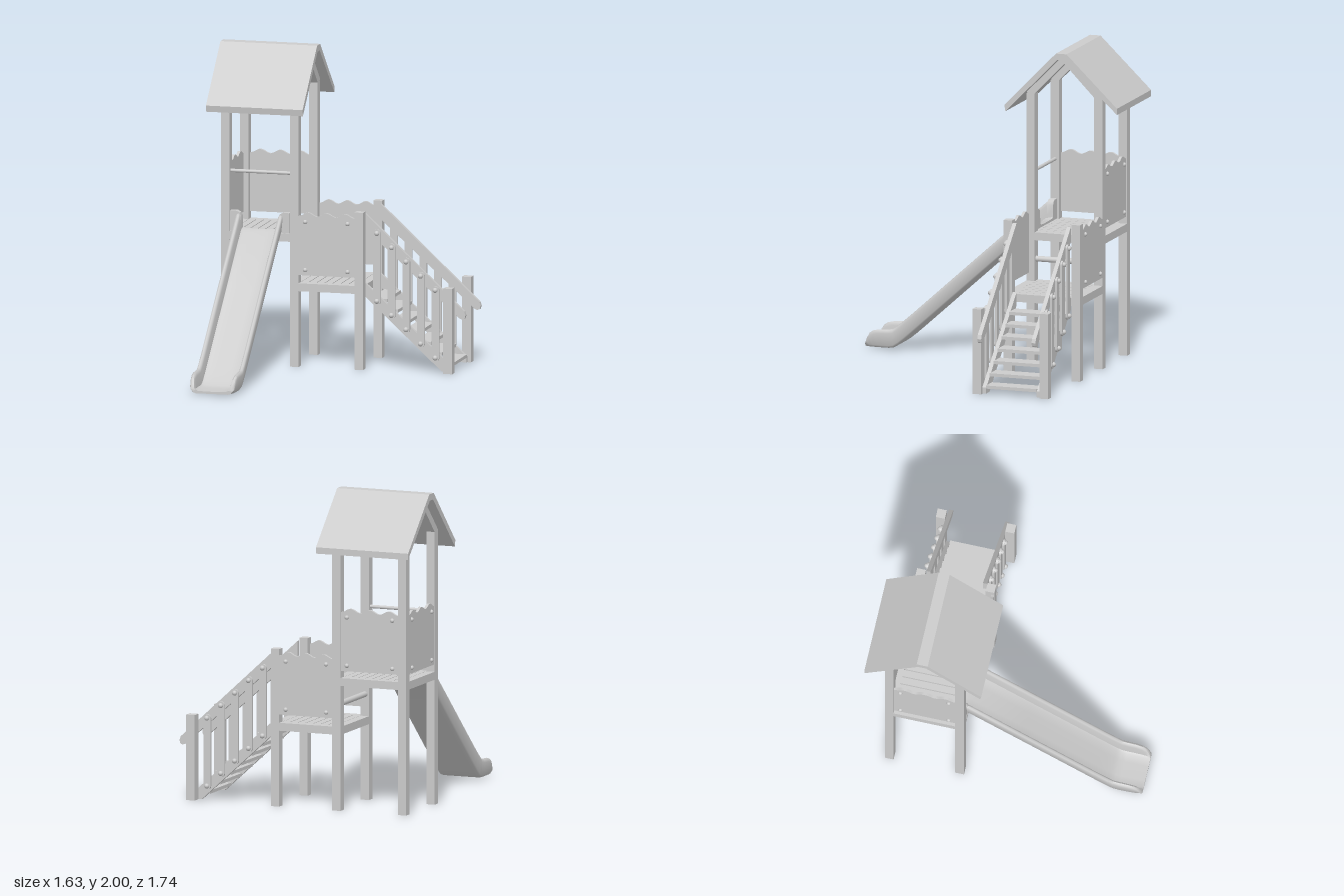
import * as THREE from 'three';
import { toCreasedNormals } from 'three/addons/utils/BufferGeometryUtils.js';

const mat = new THREE.MeshStandardMaterial({ color: 0xcccccc });
const matDouble = new THREE.MeshStandardMaterial({ color: 0xcccccc, side: THREE.DoubleSide });

function add(parent, name, geometry, material = mat) {
  const mesh = new THREE.Mesh(geometry, material);
  mesh.name = name;
  parent.add(mesh);
  return mesh;
}

// Box given by its minimum and maximum on each axis
function box(parent, name, x0, x1, y0, y1, z0, z1) {
  const mesh = add(parent, name, new THREE.BoxGeometry(x1 - x0, y1 - y0, z1 - z0));
  mesh.position.set((x0 + x1) / 2, (y0 + y1) / 2, (z0 + z1) / 2);
  return mesh;
}

const shapeOf = pts => new THREE.Shape(pts.map(p => new THREE.Vector2(p[0], p[1])));

// Outline in (x, y), pushed from z0 to z1
function extrudeZ(parent, name, pts, z0, z1) {
  const g = new THREE.ExtrudeGeometry(shapeOf(pts), { depth: z1 - z0, bevelEnabled: false });
  return add(parent, name, toCreasedNormals(g.translate(0, 0, z0), 0.5));
}

// Outline in (z, y), pushed from x0 to x1
function extrudeX(parent, name, pts, x0, x1) {
  const g = new THREE.ExtrudeGeometry(shapeOf(pts), { depth: x1 - x0, bevelEnabled: false });
  return add(parent, name, toCreasedNormals(g.rotateY(-Math.PI / 2).translate(x1, 0, 0), 0.5));
}

// Panel outline with a wavy top edge
function wavyOutline(a, b, y0, y1) {
  const pts = [[a, y0], [b, y0]], n = 36;
  for (let i = 0; i <= n; i++) {
    const t = 1 - i / n;
    pts.push([a + (b - a) * t, y1 - 0.012 + 0.012 * Math.cos((t - 0.5) * Math.PI * 6)]);
  }
  return pts;
}

function bolt(parent, x, y, z, r = 0.014) {
  add(parent, 'bolt', new THREE.SphereGeometry(r, 12, 8)).position.set(x, y, z);
}

function rod(parent, name, radius, length, axis, x, y, z) {
  const g = new THREE.CylinderGeometry(radius, radius, length, 16);
  if (axis === 'x') g.rotateZ(Math.PI / 2); else g.rotateX(Math.PI / 2);
  add(parent, name, g).position.set(x, y, z);
}

// Slats running along z, with narrow gaps
function deck(parent, x0, x1, yTop, z0, z1, count) {
  const w = (x1 - x0) / count;
  for (let i = 0; i < count; i++)
    box(parent, 'deckSlat', x0 + i * w + 0.003, x0 + (i + 1) * w - 0.003, yTop - 0.025, yTop, z0, z1);
}

const FRONT = [-0.303, -0.247], BACK = [-0.753, -0.697];

function buildTower() {
  const tower = new THREE.Group();
  tower.name = 'tower';
  const sides = [[-0.752, -0.696], [-0.306, -0.25]];
  for (const [x0, x1] of sides) {
    extrudeX(tower, 'towerPost', [[FRONT[0], 0], [FRONT[1], 0], [FRONT[1], 1.72], [FRONT[0], 1.77]], x0, x1);
    extrudeX(tower, 'towerPost', [[BACK[0], 0], [BACK[1], 0], [BACK[1], 1.77], [BACK[0], 1.72]], x0, x1);
    extrudeX(tower, 'rafter', [[-0.475, 1.962], [-0.247, 1.735], [-0.28, 1.70], [-0.5, 1.925],
      [-0.72, 1.70], [-0.753, 1.74], [-0.525, 1.962]], x0, x1);
    box(tower, 'deckBeam', x0, x1, 0.79, 0.84, BACK[1], FRONT[0]);
  }
  for (const [z0, z1] of [FRONT, BACK]) box(tower, 'deckBeam', -0.696, -0.306, 0.79, 0.84, z0, z1);
  deck(tower, -0.696, -0.306, 0.84, BACK[1], FRONT[0], 8);

  // Gabled roof with a narrow flat ridge
  extrudeX(tower, 'roof', [[-0.465, 2], [-0.475, 1.96], [-0.525, 1.96], [-0.87, 1.637], [-0.87, 1.677],
    [-0.535, 2]].slice(1, 5).concat([[-0.535, 2], [-0.465, 2], [-0.123, 1.65], [-0.13, 1.61]]), -0.815, -0.19);

  // Closed sides: back and outer end
  extrudeZ(tower, 'backPanel', wavyOutline(-0.696, -0.306, 0.885, 1.28), -0.748, -0.73);
  extrudeX(tower, 'sidePanel', wavyOutline(-0.697, -0.303, 0.885, 1.28), -0.747, -0.729);
  for (const y of [0.92, 1.225]) {
    for (const x of [-0.655, -0.347]) bolt(tower, x, y, -0.748);
    for (const z of [-0.655, -0.345]) bolt(tower, -0.747, y, z);
  }
  rod(tower, 'safetyBar', 0.011, 0.4, 'x', -0.5, 1.22, -0.275);
  rod(tower, 'stepRung', 0.018, 0.4, 'z', -0.278, 0.668, -0.5);
  return tower;
}

function buildLanding() {
  const landing = new THREE.Group();
  landing.name = 'landing';
  for (const [z0, z1] of [FRONT, BACK]) {
    box(landing, 'landingPost', 0.11, 0.166, 0, 0.995, z0, z1);
    box(landing, 'landingBeam', -0.25, 0.11, 0.48, 0.53, z0, z1);
  }
  box(landing, 'landingBeam', 0.11, 0.166, 0.48, 0.53, BACK[1], FRONT[0]);
  box(landing, 'landingBeam', -0.306, -0.25, 0.48, 0.53, BACK[1], FRONT[0]);
  deck(landing, -0.25, 0.11, 0.53, BACK[1], FRONT[0], 7);
  const outline = wavyOutline(-0.25, 0.11, 0.582, 0.98);
  extrudeZ(landing, 'landingPanel', outline, -0.266, -0.248);
  extrudeZ(landing, 'landingPanel', outline, -0.752, -0.734);
  for (const z of [-0.248, -0.752]) for (const x of [-0.208, 0.066]) for (const y of [0.92, 0.616]) bolt(landing, x, y, z);
  return landing;
}

function buildStairs() {
  const stairs = new THREE.Group();
  stairs.name = 'stairs';
  const rail = [[0.165, 0.98], [0.165, 0.885], [0.772, 0.346], [0.79, 0.338], [0.806, 0.345], [0.812, 0.365], [0.804, 0.39]];
  const stringer = [[0.165, 0.54], [0.165, 0.455], [0.66, 0.003], [0.72, 0.003], [0.72, 0.04]];

  // Baluster with rounded ends, about its lower bolt
  const bar = new THREE.Shape();
  bar.absarc(0, 0.429, 0.024, 0, Math.PI, false);
  bar.absarc(0, 0, 0.024, Math.PI, Math.PI * 2, false);
  const barGeo = new THREE.ExtrudeGeometry(bar, { depth: 0.014, bevelEnabled: false, curveSegments: 10 });

  for (const s of [1, -1]) {
    const span = (a, b) => [-0.5 + Math.min(s * a, s * b), -0.5 + Math.max(s * a, s * b)];
    extrudeZ(stairs, 'handrail', rail, ...span(0.167, 0.193));
    extrudeZ(stairs, 'stringer', stringer, ...span(0.167, 0.193));
    box(stairs, 'stairPost', 0.684, 0.742, 0, 0.54, ...span(0.193, 0.251));
    for (let i = 0; i < 5; i++) {
      const x = 0.243 + i * 0.0943, y = 0.432 - i * 0.0855;
      add(stairs, 'baluster', barGeo).position.set(x, y, span(0.193, 0.207)[0]);
      for (const h of [0, 0.429]) bolt(stairs, x, y + h, -0.5 + s * 0.209, 0.016);
    }
  }
  for (let i = 0; i < 7; i++) {
    const x = 0.243 + i * 0.071, y = 0.432 - i * 0.0645;
    box(stairs, 'tread', x - 0.055, x + 0.055, y - 0.01, y + 0.01, -0.668, -0.332);
  }
  return stairs;
}

function buildSlide() {
  const slide = new THREE.Group();
  slide.name = 'slide';
  // Stations along the chute: z, underside height, wall height, width scale
  const stations = [[-0.29, 0.842, 0.12, 1], [-0.24, 0.83, 0.122, 1], [0.1, 0.525, 0.122, 1], [0.56, 0.11, 0.122, 1],
    [0.61, 0.066, 0.123, 1], [0.65, 0.033, 0.122, 1], [0.68, 0.013, 0.12, 1], [0.715, 0.007, 0.121, 1],
    [0.77, 0.007, 0.118, 1], [0.81, 0.007, 0.109, 0.99], [0.835, 0.007, 0.092, 0.975],
    [0.853, 0.007, 0.062, 0.95], [0.866, 0.007, 0.03, 0.91]];
  const section = h => {
    const inner = [[0.05, 0.014], [0.1, 0.016], [0.115, 0.024], [0.121, Math.max(0.026, h - 0.025)], [0.126, h - 0.006], [0.136, h]];
    const outer = [[0.05, 0], [0.115, 0], [0.135, 0.006], [0.143, 0.018], [0.151, Math.max(0.022, h - 0.024)], [0.147, h - 0.006]];
    const both = half => [...half.map(p => [-p[0], p[1]]).reverse(), ...half];
    return [...both(inner), ...both(outer).reverse()];
  };
  const pos = [], idx = [], n = section(0.1).length;
  for (const [z, y, h, w] of stations) for (const [u, v] of section(h)) pos.push(-0.505 + u * w, y + v, z);
  for (let s = 0; s < stations.length - 1; s++) for (let i = 0; i < n; i++) {
    const a = s * n + i, b = s * n + (i + 1) % n;
    idx.push(a, a + n, b, b, a + n, b + n);
  }
  const last = (stations.length - 1) * n;
  for (let i = 0; i < n / 2 - 1; i++) {
    const a = i, b = n - 1 - i, c = n - 2 - i, d = i + 1;
    idx.push(a, c, b, a, d, c, last + a, last + b, last + c, last + a, last + c, last + d);
  }
  const g = new THREE.BufferGeometry();
  g.setAttribute('position', new THREE.Float32BufferAttribute(pos, 3));
  g.setIndex(idx);
  add(slide, 'chute', toCreasedNormals(g, 0.9), matDouble);

  // Flared wings joining the chute to the tower posts
  for (const s of [1, -1]) {
    const wing = [[0.12, 0.842], [0.192, 0.842], [0.192, 0.97], [0.15, 0.97], [0.13, 0.96], [0.12, 0.94]];
    const pts = wing.map(([u, y]) => [-0.502 + s * u, y]);
    extrudeZ(slide, 'slideWing', pts, -0.29, -0.25);
  }
  return slide;
}

export function createModel() {
  const model = new THREE.Group();
  model.name = 'playgroundTower';
  model.add(buildTower(), buildLanding(), buildStairs(), buildSlide());
  return model;
}
